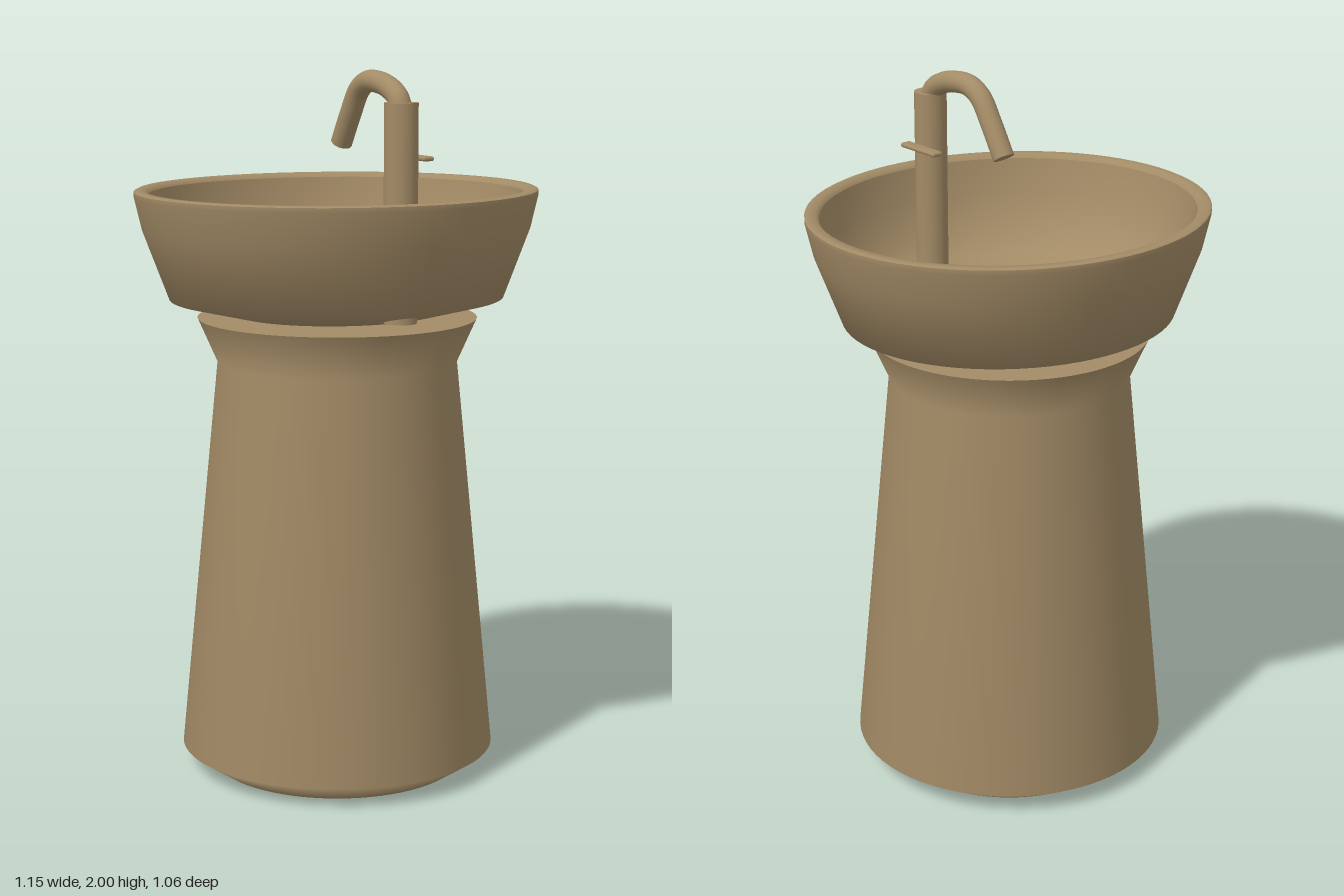
import * as THREE from 'three';
import { RoundedBoxGeometry } from 'three/addons/geometries/RoundedBoxGeometry.js';

export function createModel() {
  const model = new THREE.Group();
  const stone = new THREE.MeshStandardMaterial({ color: 0xa38b66 });
  stone.name = 'warm stone';

  const add = (name, geometry, parent = model) => {
    const mesh = new THREE.Mesh(geometry, stone);
    mesh.name = name;
    parent.add(mesh);
    return mesh;
  };
  const lathe = (name, profile, parent) => add(name,
    new THREE.LatheGeometry(profile.map(([r, y]) => new THREE.Vector2(r, y)), 72), parent);

  // Pedestal: flared column, with separate end caps for crisp edges
  const pedestal = new THREE.Group();
  pedestal.name = 'pedestal';
  model.add(pedestal);
  lathe('pedestalBase', [[0, 0], [0.36, 0]], pedestal);
  lathe('pedestalBody', [[0.36, 0], [0.45, 0.06], [0.34, 1.18], [0.395, 1.305]], pedestal);
  lathe('pedestalTop', [[0.395, 1.305], [0, 1.305]], pedestal);

  // Basin: slightly oval bowl with a rounded rim
  const basin = new THREE.Group();
  basin.name = 'basin';
  basin.scale.z = 0.922;
  model.add(basin);
  lathe('basinUnderside', [[0, 1.308], [0.21, 1.308], [0.3, 1.318], [0.48, 1.362],
    [0.555, 1.56], [0.576, 1.65], [0.576, 1.664]], basin);
  lathe('basinRim', [[0.576, 1.664], [0.568, 1.668], [0.545, 1.667], [0.535, 1.655]], basin);
  lathe('basinInside', [[0.535, 1.655], [0.515, 1.56], [0.475, 1.465], [0.41, 1.4],
    [0.3, 1.365], [0.15, 1.35], [0, 1.346]], basin);

  // Drain cover in the middle of the bowl
  add('drain', new THREE.CylinderGeometry(0.04, 0.04, 0.012, 32)).position.y = 1.35;

  // Tap: column through the basin, curved spout and a small side lever
  const tap = new THREE.Group();
  tap.name = 'tap';
  model.add(tap);
  add('tapColumn', new THREE.CylinderGeometry(0.046, 0.046, 0.59, 32), tap).position.set(0, 1.625, 0.344);

  const path = new THREE.CatmullRomCurve3([
    [1.89, 0.346], [1.93, 0.328], [1.957, 0.28], [1.969, 0.225], [1.969, 0.17],
    [1.945, 0.122], [1.88, 0.076], [1.795, 0.024],
  ].map(([y, z]) => new THREE.Vector3(0, y, z)));
  add('spout', new THREE.TubeGeometry(path, 40, 0.03, 20), tap);

  // Closed spout end
  const tip = add('spoutEnd', new THREE.CircleGeometry(0.03, 20), tap);
  tip.position.copy(path.getPoint(1));
  tip.quaternion.setFromUnitVectors(new THREE.Vector3(0, 0, 1), path.getTangent(1));

  add('lever', new RoundedBoxGeometry(0.034, 0.013, 0.152, 3, 0.006), tap).position.set(0.064, 1.771, 0.307);

  return model;
}
